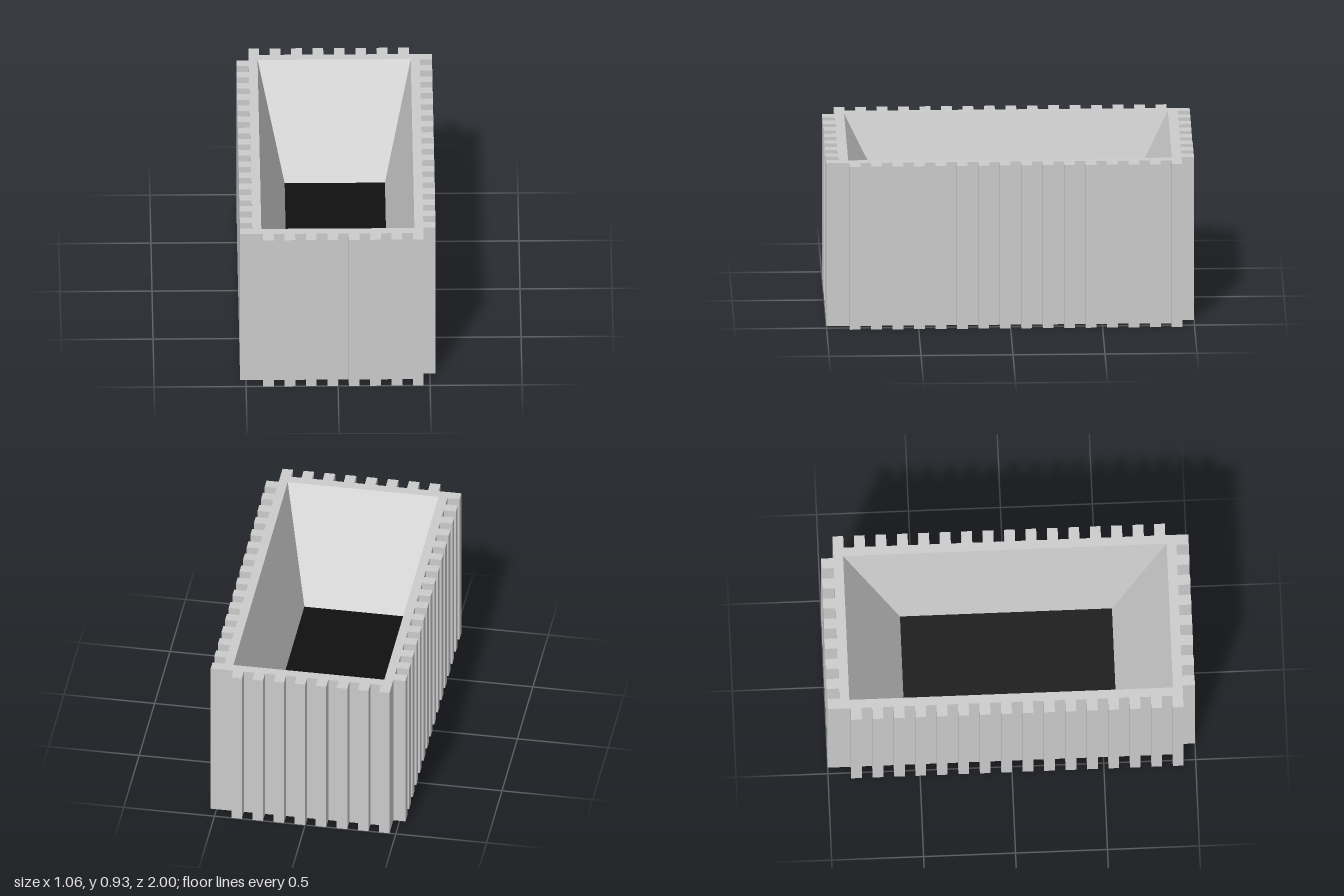
import * as THREE from 'three';

const HEIGHT = 0.93;
const BODY_X = 0.465, BODY_Z = 0.933;   // half size of the box behind the ribs
const RIB = 0.067;                      // rib depth
const FLOOR_Y = 0.33;                   // inner floor level
const MOUTH_X = 0.416, MOUTH_Z = 0.88;  // half size of the opening
const TAPER = 0.655;                    // floor size relative to the opening

// Comb-shaped plan: a long and a short side, repeated by a half turn
function ribbedOutline() {
  const half = [];
  const addRibs = (cells, length, place) => {
    const step = (2 * length) / cells;
    for (let k = 1; k < cells; k += 2) {
      const a = -length + k * step, b = a + step;
      half.push(place(a, 0), place(a, RIB), place(b, RIB), place(b, 0));
    }
  };
  addRibs(32, BODY_Z, (t, out) => new THREE.Vector2(BODY_X + out, t));
  addRibs(16, BODY_X, (t, out) => new THREE.Vector2(-t, BODY_Z + out));
  return [...half, ...half.map((p) => p.clone().negate())];
}

// Flat-faced band between two matching loops at different heights
function band(lower, y0, upper, y1) {
  const pos = [];
  const put = (p, y) => pos.push(p.x, y, -p.y);
  lower.forEach((a, i) => {
    const j = (i + 1) % lower.length;
    put(a, y0); put(lower[j], y0); put(upper[j], y1);
    put(a, y0); put(upper[j], y1); put(upper[i], y1);
  });
  const geo = new THREE.BufferGeometry();
  geo.setAttribute('position', new THREE.Float32BufferAttribute(pos, 3));
  geo.computeVertexNormals();
  return geo;
}

// Horizontal face from a plan shape
function slab(shape, y, down = false) {
  const geo = new THREE.ShapeGeometry(shape).rotateX(-Math.PI / 2);
  if (down) geo.rotateZ(Math.PI);
  return geo.translate(0, y, 0);
}

export function createModel() {
  const group = new THREE.Group();
  group.name = 'ribbedPlanter';
  const grey = new THREE.MeshStandardMaterial({ color: 0xcccccc, flatShading: true });
  const dark = new THREE.MeshStandardMaterial({ color: 0x101010, flatShading: true });
  const add = (name, geo, mat = grey) => {
    const mesh = new THREE.Mesh(geo, mat);
    mesh.name = name;
    group.add(mesh);
  };

  const outline = ribbedOutline();
  // Clockwise opening, so its walls face inwards
  const mouth = [[-1, -1], [-1, 1], [1, 1], [1, -1]]
    .map(([x, z]) => new THREE.Vector2(x * MOUTH_X, z * MOUTH_Z));
  const floor = mouth.map((p) => p.clone().multiplyScalar(TAPER));

  // Outer ribbed walls
  add('ribbedWalls', band(outline, 0, outline, HEIGHT));

  // Top rim around the opening
  const rim = new THREE.Shape(outline);
  rim.holes.push(new THREE.Path(mouth));
  add('rim', slab(rim, HEIGHT));

  // Underside: the plan mirrored in x, so that turning it over restores it
  const mirrored = outline.map((p) => new THREE.Vector2(-p.x, p.y)).reverse();
  add('base', slab(new THREE.Shape(mirrored), 0, true));

  // Tapered inside and its dark floor
  add('innerWalls', band(floor, FLOOR_Y, mouth, HEIGHT));
  add('innerFloor', slab(new THREE.Shape(floor), FLOOR_Y), dark);

  return group;
}
